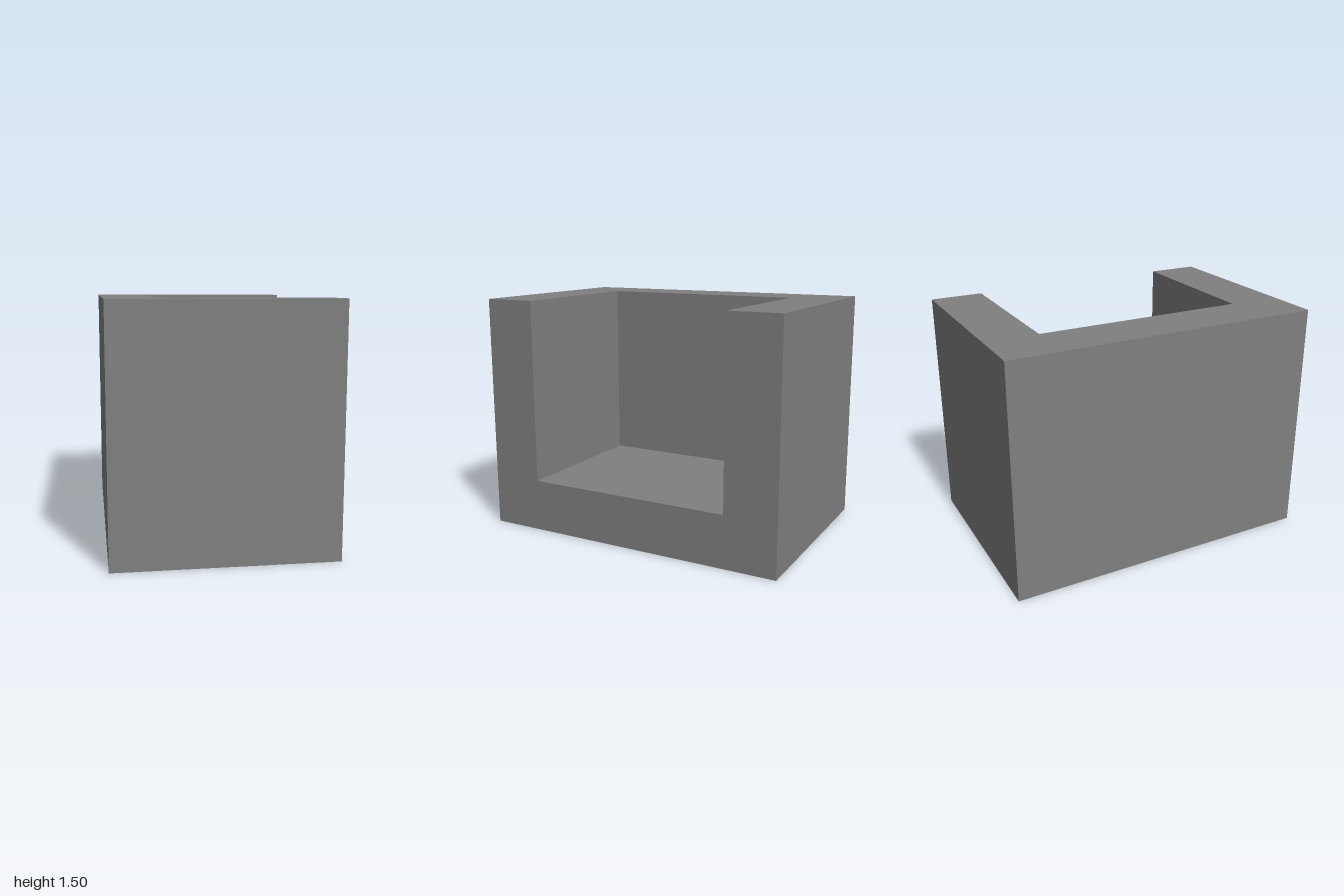
import * as THREE from 'three';

export function createModel() {
  const group = new THREE.Group();
  const grey = new THREE.MeshStandardMaterial({ color: 0x808080 });
  grey.name = 'grey';

  const wall = 1 / 3, width = 4 / 3, height = 1.5, half = 1;
  const inner = half - wall;

  // U-shaped channel: floor and two side walls, running along x
  const profile = new THREE.Shape([
    [-half, 0], [half, 0], [half, height], [inner, height],
    [inner, wall], [-inner, wall], [-inner, height], [-half, height],
  ].map(([x, y]) => new THREE.Vector2(x, y)));
  const channelGeometry = new THREE.ExtrudeGeometry(profile, { depth: width, bevelEnabled: false });
  channelGeometry.rotateY(Math.PI / 2).translate(-width / 2, 0, 0);
  const channel = new THREE.Mesh(channelGeometry, grey);
  channel.name = 'floorAndSideWalls';
  group.add(channel);

  // Wall closing the channel at -x; the +x end stays open
  const endWall = new THREE.Mesh(new THREE.BoxGeometry(wall, height - wall, inner * 2), grey);
  endWall.name = 'endWall';
  endWall.position.set(-width / 2 + wall / 2, (height + wall) / 2, 0);
  group.add(endWall);

  return group;
}
